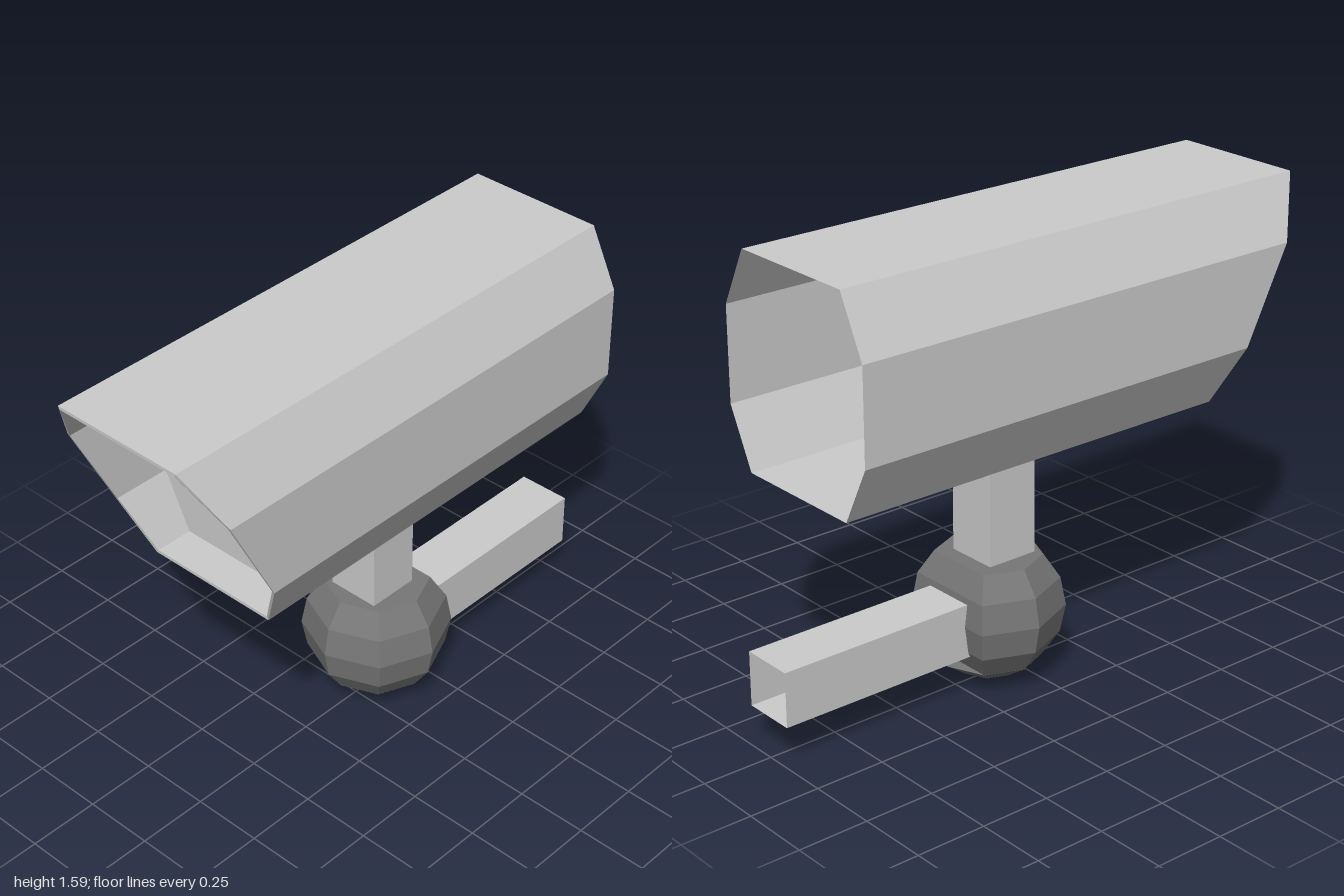
import * as THREE from 'three';

const grey = () => new THREE.MeshStandardMaterial({ color: 0xcccccc, flatShading: true, side: THREE.DoubleSide });
const coloured = (color) => {
  const m = grey();
  m.color.set(color);
  return m;
};

// Skin a series of closed loops (arrays of [x, y, z]) with faceted quads.
function loft(loops) {
  const pos = [];
  for (let k = 0; k < loops.length - 1; k++) {
    const a = loops[k], b = loops[k + 1], n = a.length;
    for (let i = 0; i < n; i++) {
      const j = (i + 1) % n;
      pos.push(...a[i], ...a[j], ...b[j], ...a[i], ...b[j], ...b[i]);
    }
  }
  const g = new THREE.BufferGeometry();
  g.setAttribute('position', new THREE.Float32BufferAttribute(pos, 3));
  g.computeVertexNormals();
  return g;
}

// Eight-sided outline with cut corners, counter-clockwise seen from the front.
function octagon(wide, narrow, bottom, low, high, top) {
  return [
    [wide, low], [wide, high], [narrow, top], [-narrow, top],
    [-wide, high], [-wide, low], [-narrow, bottom], [narrow, bottom],
  ];
}

const square = (h) => [[h, -h], [h, h], [-h, h], [-h, -h]];

export function createModel() {
  const model = new THREE.Group();
  const add = (name, geometry, material = grey()) => {
    const mesh = new THREE.Mesh(geometry, material);
    mesh.name = name;
    model.add(mesh);
    return mesh;
  };

  // Hood: open octagonal tube, raked front rim, recessed face plate
  const outer = octagon(0.347, 0.247, 0.857, 1.06, 1.39, 1.593);
  const inner = octagon(0.337, 0.24, 0.868, 1.062, 1.388, 1.582);
  const lens = octagon(0.212, 0.107, 1.06, 1.142, 1.308, 1.39);
  const rimZ = { 0.857: 0.655, 1.06: 0.725, 1.39: 0.893, 1.593: 1 };
  const at = (pts, z) => pts.map(([x, y]) => [x, y, z]);
  const plateZ = 0.52;
  const rim = (pts) => pts.map(([x, y], i) => [x, y, rimZ[outer[i][1]]]);
  add('hood', loft([at(outer, -0.86), rim(outer), rim(inner), at(inner, plateZ), at(lens, plateZ)]));

  // Lens: black disc filling the face plate
  const lensShape = new THREE.Shape(lens.map(([x, y]) => new THREE.Vector2(x, y)));
  add('lens', new THREE.ShapeGeometry(lensShape), coloured(0x050505)).position.z = plateZ;

  // Post: square tube from ball to hood
  const postLoop = (y) => square(0.095).map(([x, z]) => [x, y, -0.081 - z]);
  add('post', loft([postLoop(0.43), postLoop(0.857)]));

  // Ball: eight-sided, cut flat on top and at the back where the arm joins
  const ballZ = -0.103;
  const ring = (r, y, flatBack) => Array.from({ length: 8 }, (_, i) => {
    const a = (i * Math.PI) / 4;
    const s = flatBack && i === 2 ? r * Math.SQRT1_2 : r;
    return [s * Math.cos(a), y, ballZ - s * Math.sin(a)];
  });
  add('ballJoint', loft([
    ring(0, 0), ring(0.098, 0.022), ring(0.181, 0.078), ring(0.181, 0.0785, true),
    ring(0.238, 0.162, true), ring(0.257, 0.26, true), ring(0.238, 0.36, true),
    ring(0.181, 0.443, true), ring(0, 0.443, true),
  ]), coloured(0x777777));

  // Wall arm: square tube, open at the rear
  const armLoop = (z) => square(0.096).map(([x, y]) => [x, 0.242 + y, z]);
  add('wallArm', loft([armLoop(-1), armLoop(-0.26)]));

  return model;
}
